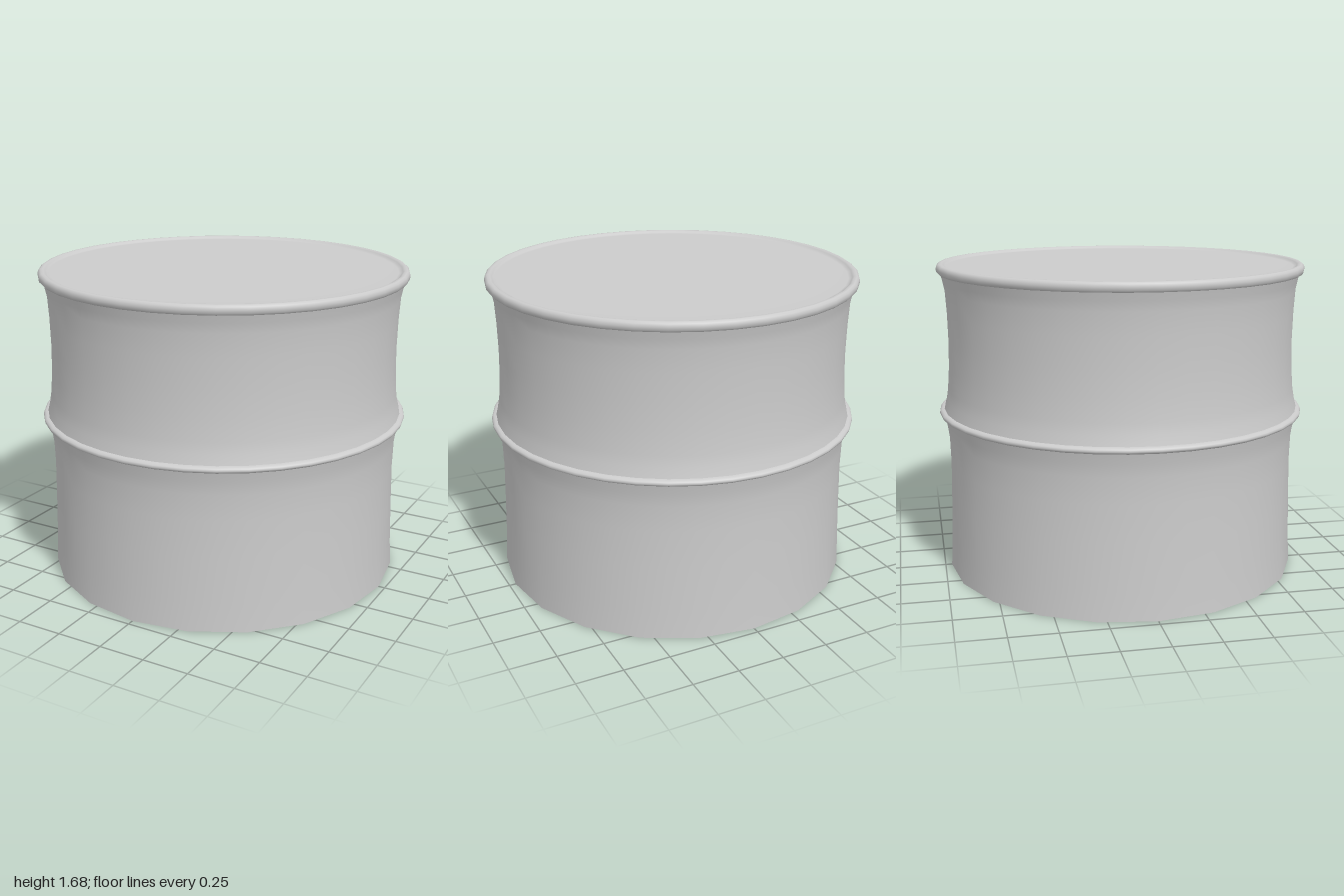
import * as THREE from 'three';

const SEGMENTS = 40;
const material = new THREE.MeshStandardMaterial({ color: 0xcccccc });

// Radius factor: the foot is 20-sided and rounds out to 40 sides at y = 0.4
function facet(i, y) {
  if (i % 2 === 0) return 1;
  const t = Math.min(1, Math.max(0, y / 0.4));
  return THREE.MathUtils.lerp(Math.cos(Math.PI / 20), 1, t);
}

// Revolves a [radius, height] profile around y
function revolve(name, profile) {
  const points = profile.map(([r, y]) => new THREE.Vector2(r, y));
  const geometry = new THREE.LatheGeometry(points, SEGMENTS);
  const p = geometry.attributes.position;
  for (let k = 0; k < p.count; k++) {
    const i = Math.floor(k / points.length);
    const f = facet(i, p.getY(k));
    p.setX(k, p.getX(k) * f);
    p.setZ(k, p.getZ(k) * f);
  }
  const mesh = new THREE.Mesh(geometry, material);
  mesh.name = name;
  return mesh;
}

export function createModel() {
  const group = new THREE.Group();
  group.name = 'drum';

  // Flat underside
  group.add(revolve('base', [[0, 0], [0.965, 0]]));

  // Lower wall flaring into the middle hoop
  group.add(revolve('lowerWall', [
    [0.965, 0], [0.957, 0.15], [0.95, 0.4], [0.946, 0.6], [0.95, 0.74],
    [0.96, 0.81], [0.972, 0.866],
  ]));

  // Thin rolled hoop around the middle
  group.add(revolve('middleHoop', [
    [0.97, 0.866], [0.985, 0.867], [0.995, 0.873], [0.998, 0.882],
    [0.995, 0.891], [0.985, 0.898], [0.97, 0.9],
  ]));

  // Upper wall, waisted between hoop and rim
  group.add(revolve('upperWall', [
    [0.972, 0.9], [0.96, 0.95], [0.95, 1.01], [0.941, 1.13], [0.938, 1.27],
    [0.941, 1.42], [0.948, 1.54], [0.958, 1.59], [0.968, 1.632],
  ]));

  // Rolled rim with the slightly sunken lid
  group.add(revolve('rimAndLid', [
    [0.965, 1.63], [0.98, 1.632], [0.989, 1.642], [0.991, 1.658],
    [0.987, 1.673], [0.976, 1.681], [0.962, 1.682], [0.951, 1.676],
    [0.943, 1.669], [0.93, 1.667], [0.8, 1.667], [0, 1.667],
  ]));

  return group;
}
